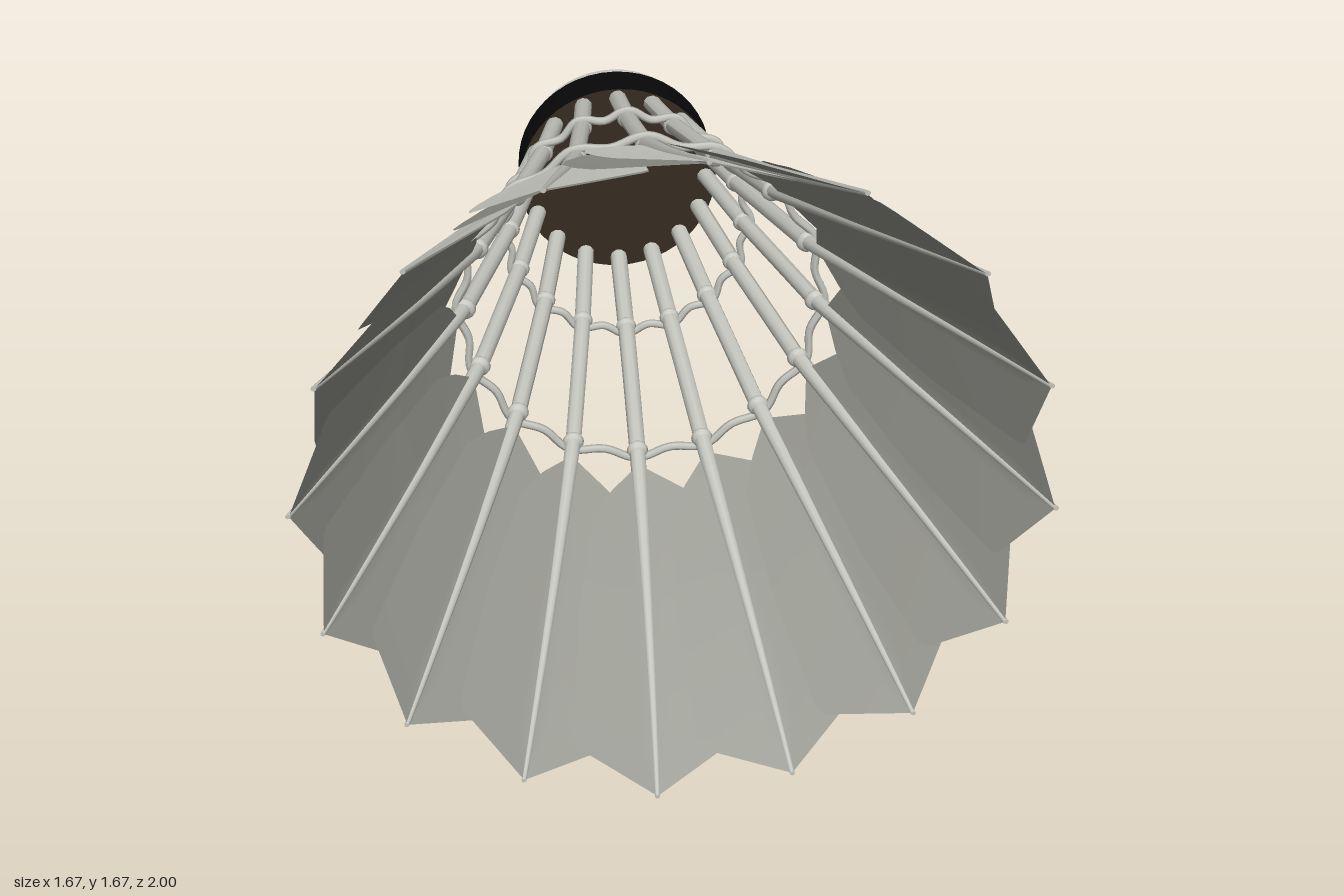
import * as THREE from 'three';

const COUNT = 16, CY = 0.835;

// Piecewise linear lookup through [z, value] pairs
function lookup(table, z) {
  for (let i = 1; i < table.length; i++) {
    const [z0, a] = table[i - 1], [z1, b] = table[i];
    if (z <= z1) return THREE.MathUtils.lerp(a, b, (z - z0) / (z1 - z0));
  }
  return table[table.length - 1][1];
}

const spread = [[-0.66, 0.25], [-0.33, 0.328], [0.1, 0.452], [0.5, 0.617], [1, 0.832]];
const stemRadius = [[-0.66, 0.025], [0.1, 0.022], [0.5, 0.014], [1, 0.006]];
const overHalf = [[0.15, 0], [0.27, 0.17], [0.4, 0.222], [0.55, 0.242], [0.75, 0.235], [0.88, 0.21], [1, 0]];
const underHalf = [[0.15, 0], [0.24, 0.08], [0.32, 0.13], [0.6, 0.18], [0.91, 0.2], [1, 0]];
const twist = z => -0.055 * (z + 0.63) / 1.63;

// Place a point at a radial and sideways distance from the quill direction
function place(v, radial, side, z) {
  const a = twist(z);
  v.set(radial * Math.cos(a) - side * Math.sin(a), radial * Math.sin(a) + side * Math.cos(a), z);
}

// Move every vertex of a geometry by a rule
function reshape(geo, rule) {
  const p = geo.attributes.position, v = new THREE.Vector3();
  for (let i = 0; i < p.count; i++) {
    v.fromBufferAttribute(p, i);
    rule(v);
    p.setXYZ(i, v.x, v.y, v.z);
  }
  geo.computeVertexNormals();
  return geo;
}

// Tapered quill following the flare of the skirt
function stemGeometry() {
  return reshape(new THREE.CylinderGeometry(1, 1, 1, 10, 20), v => {
    const z = -0.66 + (0.5 - v.y) * 1.66, k = lookup(stemRadius, z);
    place(v, lookup(spread, z) + v.x * k, v.z * k, z);
  });
}

// Flat half-vanes: one lies over the next feather, the other tucks under
function vaneGeometry(overWidth, overSlope, offset) {
  return reshape(new THREE.PlaneGeometry(2, 1, 12, 40), v => {
    const u = v.x, z = 0.15 + (v.y + 0.5) * 0.85;
    const w = u > 0 ? u * overWidth * lookup(overHalf, z) : u * lookup(underHalf, z);
    place(v, lookup(spread, z) + offset + w * (w > 0 ? overSlope : 0.22), w, z);
  });
}

// Thread looped over every quill and dipping slightly between them
function threadGeometry(z) {
  const r0 = lookup(spread, z), pts = [];
  for (let i = 0; i < 128; i++) {
    const t = i / 128 * Math.PI * 2, a = t + twist(z);
    const r = r0 + 0.012 + 0.012 * Math.cos(t * COUNT);
    pts.push(new THREE.Vector3(r * Math.cos(a), r * Math.sin(a), z));
  }
  return new THREE.TubeGeometry(new THREE.CatmullRomCurve3(pts, true), 192, 0.011, 6, true);
}

export function createModel() {
  const mat = (name, color, side = THREE.FrontSide) => {
    const m = new THREE.MeshStandardMaterial({ color, side });
    m.name = name;
    return m;
  };
  const white = mat('feather and cork white', 0xd8d9d1);
  const underside = mat('feather underside grey', 0x9a9b93, THREE.DoubleSide);
  const quill = mat('quill grey', 0xc4c5bd);
  const black = mat('band black', 0x080808);
  const brown = mat('base brown', 0x352b20);

  const model = new THREE.Group();
  model.name = 'shuttlecock';
  const body = new THREE.Group();
  body.name = 'body';
  body.position.y = CY;
  model.add(body);
  const add = (name, geo, material, parent = body) => {
    const m = new THREE.Mesh(geo, material);
    m.name = name;
    parent.add(m);
    return m;
  };

  // Rounded cork nose
  const profile = [new THREE.Vector2(0.283, 0.68)];
  for (let i = 0; i <= 20; i++) {
    const a = i / 20 * Math.PI / 2;
    profile.push(new THREE.Vector2(0.283 * Math.cos(a) ** 0.9, 0.72 + 0.28 * Math.sin(a)));
  }
  add('corkNose', new THREE.LatheGeometry(profile, 48).rotateX(-Math.PI / 2), white);

  // Band around the cork and its flat inner face
  const band = add('corkBand', new THREE.CylinderGeometry(0.287, 0.287, 0.125, 48).rotateX(Math.PI / 2), black);
  band.position.z = -0.6925;
  add('corkFace', new THREE.CircleGeometry(0.286, 48), brown).position.z = -0.628;

  // Ring of feathers, each with a pale outer sheet over a wider grey underside
  const stemGeo = stemGeometry();
  const outerGeo = vaneGeometry(0.8, 0, 0.002), innerGeo = vaneGeometry(1, -0.1, -0.002);
  for (let i = 0; i < COUNT; i++) {
    const g = new THREE.Group();
    g.name = 'feather' + (i + 1);
    g.rotation.z = i / COUNT * Math.PI * 2;
    add('quill', stemGeo, quill, g);
    add('vane', outerGeo, white, g);
    add('vaneUnderside', innerGeo, underside, g);
    body.add(g);
  }

  // Two binding rings with a knot on each quill
  const knotGeo = new THREE.SphereGeometry(0.029, 10, 8).scale(1, 1, 0.6);
  for (const z of [-0.335, 0.105]) {
    add('bindingThread', threadGeometry(z), quill);
    for (let i = 0; i < COUNT; i++) {
      const a = i / COUNT * Math.PI * 2 + twist(z), r = lookup(spread, z);
      add('knot', knotGeo, quill).position.set(r * Math.cos(a), r * Math.sin(a), z);
    }
  }
  return model;
}
